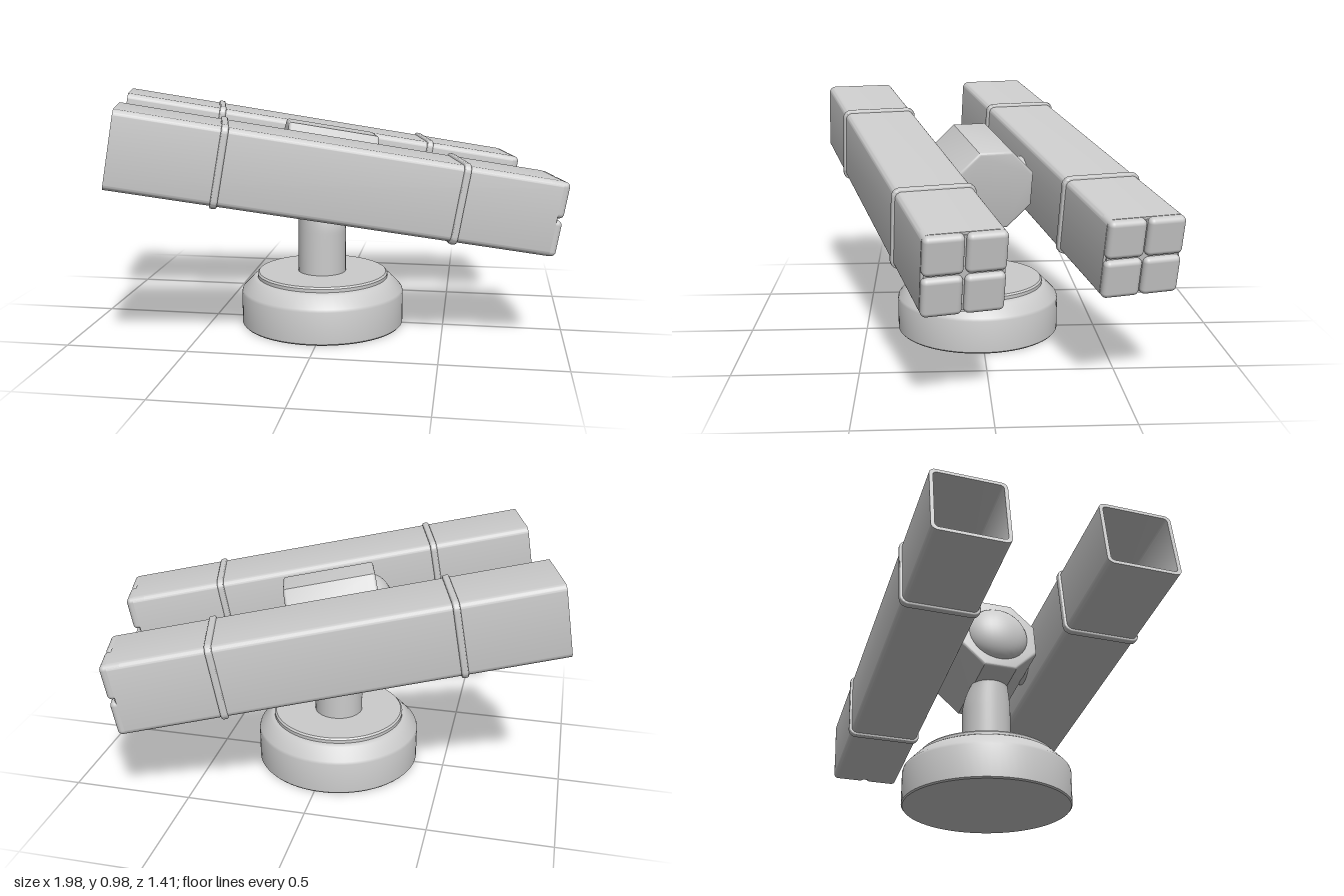
import * as THREE from 'three';
import { toCreasedNormals } from 'three/addons/utils/BufferGeometryUtils.js';
import { RoundedBoxGeometry } from 'three/addons/geometries/RoundedBoxGeometry.js';

const material = new THREE.MeshStandardMaterial({ color: 0xcccccc });
const SIZE = 0.305; // pod cross-section
const LENGTH = 1.775; // pod length
const HALF_GAP = 0.337; // pod axis to turret centre

function add(parent, name, geometry, x = 0, y = 0, z = 0) {
  const mesh = new THREE.Mesh(geometry, material);
  mesh.name = name;
  mesh.position.set(x, y, z);
  parent.add(mesh);
  return mesh;
}

// Square outline with rounded corners
function roundedSquare(size, r, Type = THREE.Shape) {
  const h = size / 2, k = h - r, s = new Type();
  s.moveTo(-k, -h);
  s.absarc(k, -k, r, -Math.PI / 2, 0);
  s.absarc(k, k, r, 0, Math.PI / 2);
  s.absarc(-k, k, r, Math.PI / 2, Math.PI);
  s.absarc(-k, -k, r, Math.PI, Math.PI * 1.5);
  return s;
}

// Extrude a shape along x, centred
function extrudeX(shape, length, bevel = 0) {
  const g = new THREE.ExtrudeGeometry(shape, {
    depth: length - 2 * bevel, curveSegments: 6, bevelEnabled: bevel > 0,
    bevelSize: bevel, bevelThickness: bevel, bevelOffset: -bevel, bevelSegments: 3,
  });
  g.translate(0, 0, bevel - length / 2);
  g.rotateY(Math.PI / 2);
  return toCreasedNormals(g, 0.6);
}

// Square launch tube: open at the back, four padded blocks at the front
function createPod(name) {
  const pod = new THREE.Group();
  pod.name = name;

  const shellLength = LENGTH - 0.03;
  const outline = roundedSquare(SIZE, 0.026);
  outline.holes.push(roundedSquare(SIZE - 0.03, 0.016, THREE.Path));
  add(pod, 'tubeShell', extrudeX(outline, shellLength), -0.015);
  add(pod, 'frontPlate', new THREE.BoxGeometry(0.06, SIZE - 0.02, SIZE - 0.02), LENGTH / 2 - 0.055);

  for (const sy of [-1, 1]) {
    for (const sz of [-1, 1]) {
      add(pod, 'frontBlock', new RoundedBoxGeometry(0.1, 0.147, 0.147, 4, 0.02),
        LENGTH / 2 - 0.05, sy * 0.0775, sz * 0.0775);
    }
  }

  // Raised bands, hollow so the bore stays clear
  for (const x of [-0.475, 0.465]) {
    const band = roundedSquare(SIZE + 0.02, 0.034);
    band.holes.push(roundedSquare(SIZE - 0.024, 0.018, THREE.Path));
    add(pod, 'band', extrudeX(band, 0.028, 0.008), x);
  }
  return pod;
}

// Post whose head rounds over towards the back
function createPostGeometry() {
  const bottom = 0.2, bend = 0.41, top = 0.55, r = 0.103;
  const g = new THREE.CylinderGeometry(r, r, top - bottom, 40, 30, true);
  g.translate(0, (top + bottom) / 2, 0);
  const p = g.attributes.position;
  for (let i = 0; i < p.count; i++) {
    const t = Math.max(0, (p.getY(i) - bend) / (top - bend));
    const k = Math.sqrt(Math.max(0, 1 - t * t));
    p.setX(i, -r + (p.getX(i) + r) * k);
    p.setZ(i, p.getZ(i) * Math.sqrt(1 - 0.6 * t * t));
  }
  return toCreasedNormals(g, 0.8);
}

export function createModel() {
  const model = new THREE.Group();
  model.name = 'turret';
  const yaw = THREE.MathUtils.degToRad(15.2);
  const pitch = THREE.MathUtils.degToRad(-10);

  // Round base with chamfer and raised lip
  const profile = [
    [0, 0], [0.345, 0], [0.35, 0.006], [0.35, 0.14], [0.346, 0.152], [0.302, 0.198], [0.292, 0.204],
    [0.282, 0.205], [0.282, 0.219], [0.275, 0.226], [0, 0.226],
  ].map(([x, y]) => new THREE.Vector2(x, y));
  add(model, 'base', toCreasedNormals(new THREE.LatheGeometry(profile, 64), 0.6), -0.025, 0, 0.012);

  const post = add(model, 'post', createPostGeometry(), -0.027, 0, 0.01);
  post.rotation.y = yaw;

  // Aimed head
  const head = new THREE.Group();
  head.name = 'head';
  head.position.set(0, 0.68, 0);
  head.rotation.set(0, yaw, pitch, 'YZX');
  model.add(head);

  // Octagonal body
  const octagon = new THREE.Shape();
  for (let i = 0; i < 8; i++) {
    const a = (i + 0.5) * Math.PI / 4, r = 0.183;
    if (i === 0) octagon.moveTo(r * Math.cos(a), r * Math.sin(a));
    else octagon.lineTo(r * Math.cos(a), r * Math.sin(a));
  }
  octagon.closePath();
  add(head, 'body', extrudeX(octagon, 0.385, 0.012), -0.012);

  // Dome at the back of the body
  const dome = add(head, 'rearDome', new THREE.SphereGeometry(0.135, 32, 20), -0.18);
  dome.scale.x = 0.65;

  // Cross axle joining the two pods
  const axle = new THREE.CylinderGeometry(0.075, 0.075, 0.39, 32);
  axle.rotateX(Math.PI / 2);
  add(head, 'axle', axle);

  for (const [name, side] of [['frontPod', 1], ['backPod', -1]]) {
    const pod = createPod(name);
    pod.position.z = side * HALF_GAP;
    head.add(pod);
  }
  return model;
}
